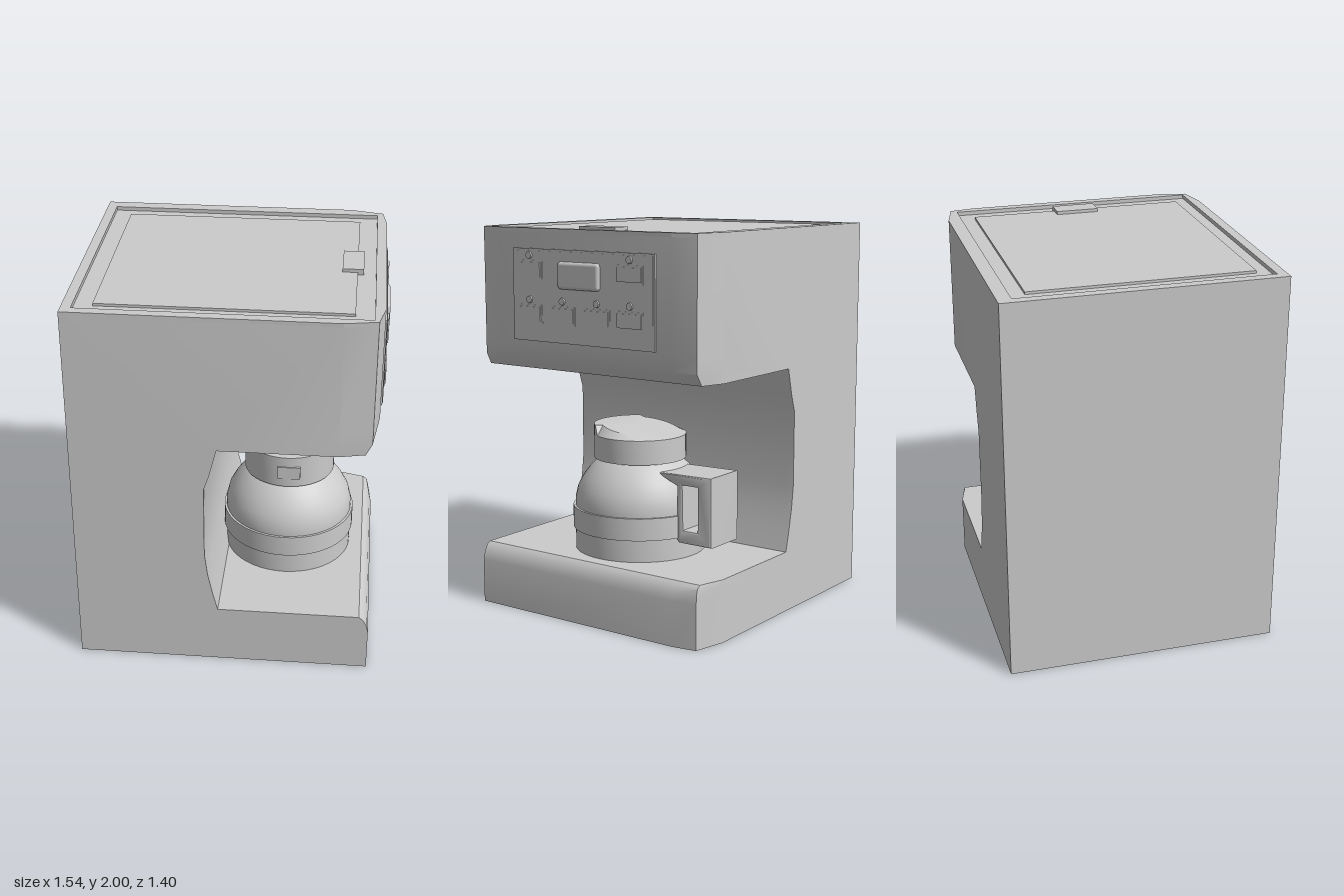
import * as THREE from 'three';
import { toCreasedNormals } from 'three/addons/utils/BufferGeometryUtils.js';
import { RoundedBoxGeometry } from 'three/addons/geometries/RoundedBoxGeometry.js';

const grey = new THREE.MeshStandardMaterial({ color: 0xcccccc, side: THREE.DoubleSide });
const V = (x, y) => new THREE.Vector2(x, y);
const toPoints = (list) => list.map(([x, y]) => V(x, y));

function add(parent, name, geometry, x = 0, y = 0, z = 0) {
  const mesh = new THREE.Mesh(geometry, grey);
  mesh.name = name;
  mesh.position.set(x, y, z);
  parent.add(mesh);
  return mesh;
}

// Box given by its min and max corners
function block(parent, name, [x0, y0, z0], [x1, y1, z1]) {
  return add(parent, name, new THREE.BoxGeometry(x1 - x0, y1 - y0, z1 - z0),
    (x0 + x1) / 2, (y0 + y1) / 2, (z0 + z1) / 2);
}

// C-shaped housing, swept across z with the front corners trimmed
function housingGeometry() {
  const profile = toPoints([
    [-0.77, 0], [0.74, 0], [0.74, 0.23], [0.73, 0.27], [0.71, 0.305], [0.69, 0.32],
    [-0.04, 0.32], [-0.065, 0.42], [-0.09, 0.54], [-0.105, 0.66], [-0.105, 1.05],
    [-0.075, 1.14], [-0.04, 1.28], [0.68, 1.28], [0.72, 1.34], [0.74, 1.41],
    [0.74, 1.97], [-0.77, 1.97],
  ]);
  const stations = [-0.70, -0.66, -0.53, 0.53, 0.67, 0.70];
  const limits = [0.55, 0.72, 0.74, 0.74, 0.71, 0.55];
  const geo = new THREE.ExtrudeGeometry(new THREE.Shape(profile),
    { depth: 5, steps: 5, bevelEnabled: false });
  const p = geo.attributes.position;
  for (let i = 0; i < p.count; i++) {
    const k = Math.round(p.getZ(i));
    const squareCorner = k > 3 && p.getY(i) < 0.5;
    if (!squareCorner) p.setX(i, Math.min(p.getX(i), limits[k]));
    p.setZ(i, stations[k]);
  }
  return toCreasedNormals(geo, 0.5);
}

// Raised rim around the sunken top
function rimGeometry() {
  const rim = new THREE.Shape(toPoints([
    [-0.77, -0.70], [0.55, -0.70], [0.71, -0.67], [0.74, -0.53],
    [0.74, 0.53], [0.72, 0.66], [0.55, 0.70], [-0.77, 0.70],
  ]));
  rim.holes.push(new THREE.Path(toPoints(
    [[-0.72, -0.65], [-0.72, 0.63], [0.69, 0.63], [0.69, -0.65]])));
  const geo = new THREE.ExtrudeGeometry(rim, { depth: 0.02, bevelEnabled: false });
  return geo.rotateX(-Math.PI / 2);
}

// Lid whose top slopes down from the pouring edge toward the handle
function lidGeometry() {
  const geo = new THREE.LatheGeometry(toPoints(
    [[0.19, 0.80], [0.24, 0.80], [0.24, 0.925], [0.2, 0.93], [0.1, 0.93], [0, 0.93]]), 48);
  const p = geo.attributes.position;
  for (let i = 0; i < p.count; i++) {
    if (p.getY(i) < 0.9) continue;
    const z = p.getZ(i), r = Math.hypot(p.getX(i), z);
    if (z > 0.135) p.setY(i, 0.975);
    else if (r < 0.22) p.setY(i, 0.925 + 0.05 * (z + 0.24) / 0.375);
  }
  return toCreasedNormals(geo, 0.5);
}

function handleGeometry() {
  const loop = new THREE.Shape(toPoints(
    [[0.2, 0.77], [0.33, 0.71], [0.33, 0.43], [0.34, 0.42], [0.52, 0.42], [0.52, 0.76], [0.2, 0.76]].slice(1)));
  loop.holes.push(new THREE.Path(toPoints(
    [[0.345, 0.72], [0.455, 0.72], [0.455, 0.47], [0.35, 0.47]])));
  const geo = new THREE.ExtrudeGeometry(loop, {
    depth: 0.22, bevelThickness: 0.015, bevelSize: 0.01, bevelSegments: 2,
  });
  return toCreasedNormals(geo.translate(0, 0, -0.11).rotateY(Math.PI / 2), 0.6);
}

function createCarafe() {
  const carafe = new THREE.Group();
  carafe.name = 'carafe';
  carafe.position.x = 0.28;
  const body = new THREE.LatheGeometry(toPoints([
    [0, 0.321], [0.34, 0.321], [0.34, 0.435], [0.352, 0.435], [0.352, 0.55], [0.34, 0.55],
    [0.34, 0.59], [0.325, 0.65], [0.295, 0.705], [0.26, 0.75], [0.225, 0.785], [0.19, 0.81],
  ]), 48);
  add(carafe, 'carafeBody', toCreasedNormals(body, 0.6));
  add(carafe, 'carafeLid', lidGeometry());
  block(carafe, 'lidLatch', [-0.05, 0.85, 0.2], [0.07, 0.92, 0.245]);
  add(carafe, 'carafeHandle', handleGeometry());
  return carafe;
}

function createControlPanel() {
  const panel = new THREE.Group();
  panel.name = 'controlPanel';
  block(panel, 'panelPlate', [0.73, 1.43, -0.44], [0.749, 1.89, 0.44]);
  block(panel, 'panelInset', [0.74, 1.44, -0.43], [0.752, 1.88, 0.43]);
  add(panel, 'display', new RoundedBoxGeometry(0.05, 0.135, 0.26, 3, 0.018), 0.744, 1.765, 0.013);

  // Buttons, each with an indicator lamp above
  const rows = [[1.787, [0.33, -0.295]], [1.567, [0.33, 0.12, -0.095, -0.295]]];
  for (const [y, columns] of rows) {
    for (const z of columns) {
      block(panel, 'buttonFrame', [0.74, y - 0.045, z - 0.082], [0.755, y + 0.045, z + 0.082]);
      block(panel, 'button', [0.74, y - 0.035, z - 0.072], [0.76, y + 0.035, z + 0.072]);
      const lamp = new THREE.CylinderGeometry(0.017, 0.021, 0.02, 20).rotateZ(-Math.PI / 2);
      add(panel, 'indicatorLamp', lamp, 0.75, y + 0.07, z);
    }
  }
  return panel;
}

export function createModel() {
  const model = new THREE.Group();
  model.name = 'coffeeMaker';
  add(model, 'housing', housingGeometry());
  add(model, 'topRim', rimGeometry(), 0, 1.97, 0);
  block(model, 'topLid', [-0.63, 1.96, -0.55], [0.60, 1.983, 0.58]);
  block(model, 'lidTab', [0.525, 1.965, -0.115], [0.63, 2.0, 0.11]);
  model.add(createControlPanel(), createCarafe());
  return model;
}
